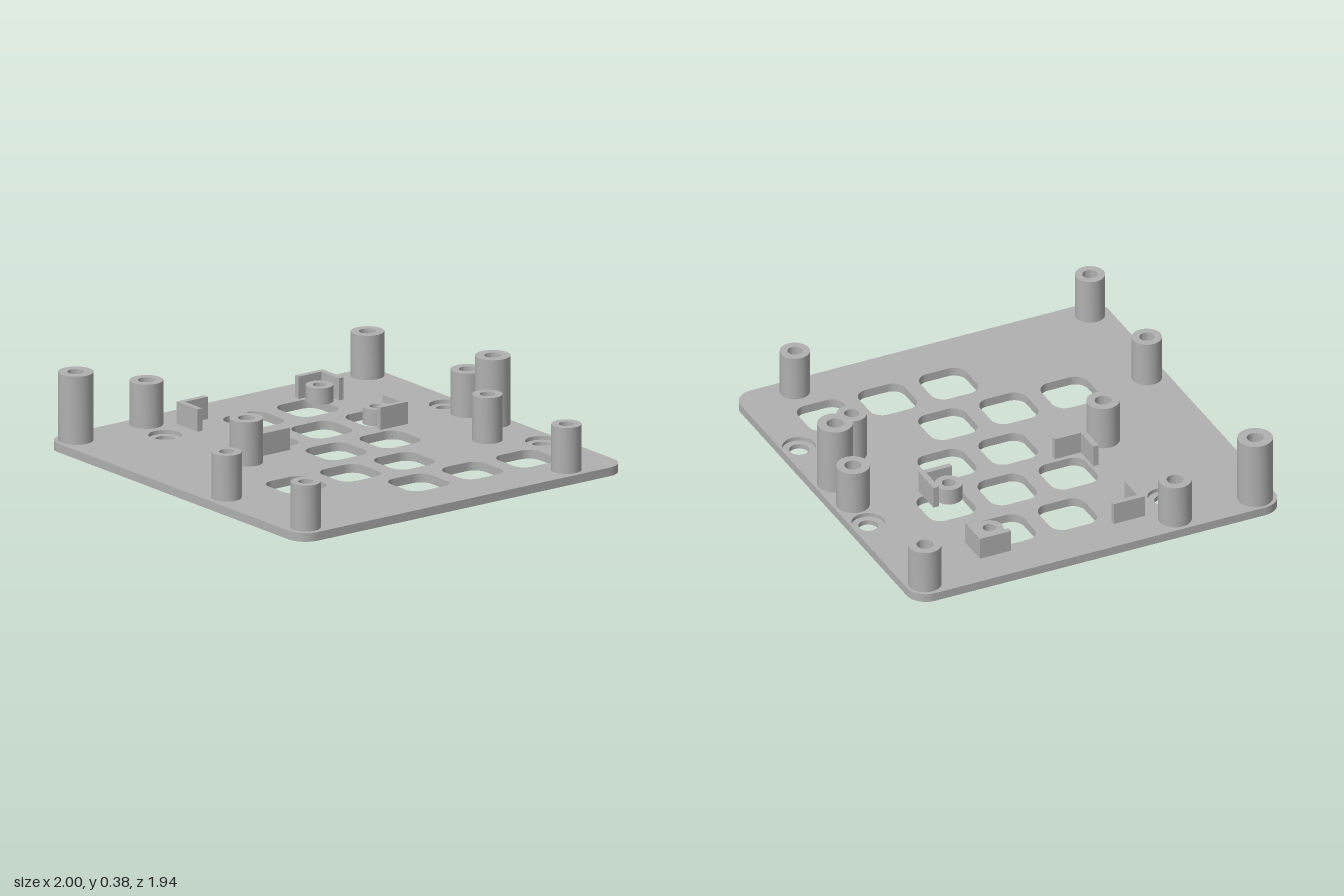
import * as THREE from 'three';
import { toCreasedNormals } from 'three/addons/utils/BufferGeometryUtils.js';

const PLATE_TOP = 0.043;

export function createModel() {
  const model = new THREE.Group();
  model.name = 'faceplate';
  const grey = new THREE.MeshStandardMaterial({ color: 0xb0b0b0 });
  grey.name = 'grey plastic';

  // Outlines are drawn with shape y = -z, then extruded upwards.
  function roundedRect(path, cx, cz, w, d, r) {
    const x0 = cx - w / 2, x1 = cx + w / 2, y0 = -cz - d / 2, y1 = -cz + d / 2;
    path.moveTo(x0 + r, y0);
    path.lineTo(x1 - r, y0);
    path.absarc(x1 - r, y0 + r, r, -Math.PI / 2, 0);
    path.lineTo(x1, y1 - r);
    path.absarc(x1 - r, y1 - r, r, 0, Math.PI / 2);
    path.lineTo(x0 + r, y1);
    path.absarc(x0 + r, y1 - r, r, Math.PI / 2, Math.PI);
    path.lineTo(x0, y0 + r);
    path.absarc(x0 + r, y0 + r, r, Math.PI, Math.PI * 1.5);
    return path;
  }
  const circle = (path, x, z, r) => path.absarc(x, -z, r, 0, Math.PI * 2);

  function raise(name, shape, bottom, top) {
    const extruded = new THREE.ExtrudeGeometry(shape, {
      depth: top - bottom, bevelEnabled: false, curveSegments: 16,
    });
    const geometry = toCreasedNormals(extruded, 0.6);
    geometry.rotateX(-Math.PI / 2);
    geometry.translate(0, bottom, 0);
    const mesh = new THREE.Mesh(geometry, grey);
    mesh.name = name;
    model.add(mesh);
  }

  function ring(name, x, z, outer, inner, bottom, top) {
    const shape = circle(new THREE.Shape(), x, z, outer);
    shape.holes.push(circle(new THREE.Path(), x, z, inner));
    raise(name, shape, bottom, top);
  }

  // Base plate with button openings and recessed screw holes
  const plate = roundedRect(new THREE.Shape(), 0, 0, 2, 1.94, 0.1);
  const pitch = 0.322;
  const columns = [
    [-2, [-1, 0]], [-1, [-1.5, -0.5, 0.5]], [0, [-1, 0]],
    [1, [-0.5, 0.5, 1.5]], [2, [-2, -1, 0]],
  ];
  for (const [col, rows] of columns) {
    for (const row of rows) {
      plate.holes.push(roundedRect(new THREE.Path(), col * pitch, row * pitch, 0.243, 0.243, 0.066));
    }
  }
  const screwHoles = [[-0.295, -0.88], [0.455, -0.88], [-0.705, 0.48]];
  for (const [x, z] of screwHoles) {
    plate.holes.push(circle(new THREE.Path(), x, z, 0.08));
    ring('screwHoleSeat', x, z, 0.08, 0.047, 0, 0.024);
  }
  raise('basePlate', plate, 0, PLATE_TOP);

  // Hollow standoffs, grouped by size
  const standoffs = [
    { name: 'tallStandoff', r: 0.085, bore: 0.04, top: 0.38, at: [[0.085, -0.87], [-0.9, 0.865]] },
    { name: 'mediumStandoff', r: 0.08, bore: 0.04, top: 0.262,
      at: [[-0.9, -0.875], [-0.12, -0.875], [-0.9, 0.443], [-0.12, 0.443]] },
    { name: 'slimStandoff', r: 0.072, bore: 0.036, top: 0.27,
      at: [[0.285, -0.685], [0.902, -0.685], [0.285, 0.87], [0.902, 0.87]] },
    { name: 'shortStandoff', r: 0.066, bore: 0.032, top: 0.124, at: [[-0.705, -0.44], [-0.262, -0.44]] },
  ];
  for (const { name, r, bore, top, at } of standoffs) {
    for (const [x, z] of at) ring(name, x, z, r, bore, PLATE_TOP, top);
  }

  // Four corner brackets that locate a rectangular board
  const arm = 0.164, wall = 0.028;
  for (const sx of [-1, 1]) {
    for (const sz of [-1, 1]) {
      const corner = [[0, 0], [arm, 0], [arm, wall], [wall, wall], [wall, arm], [0, arm]];
      const points = corner.map(([a, b]) => new THREE.Vector2(
        -0.484 + sx * (0.334 - a), -(-0.11 + sz * (0.435 - b))));
      raise('cornerBracket', new THREE.Shape(points), PLATE_TOP, 0.153);
    }
  }

  return model;
}
